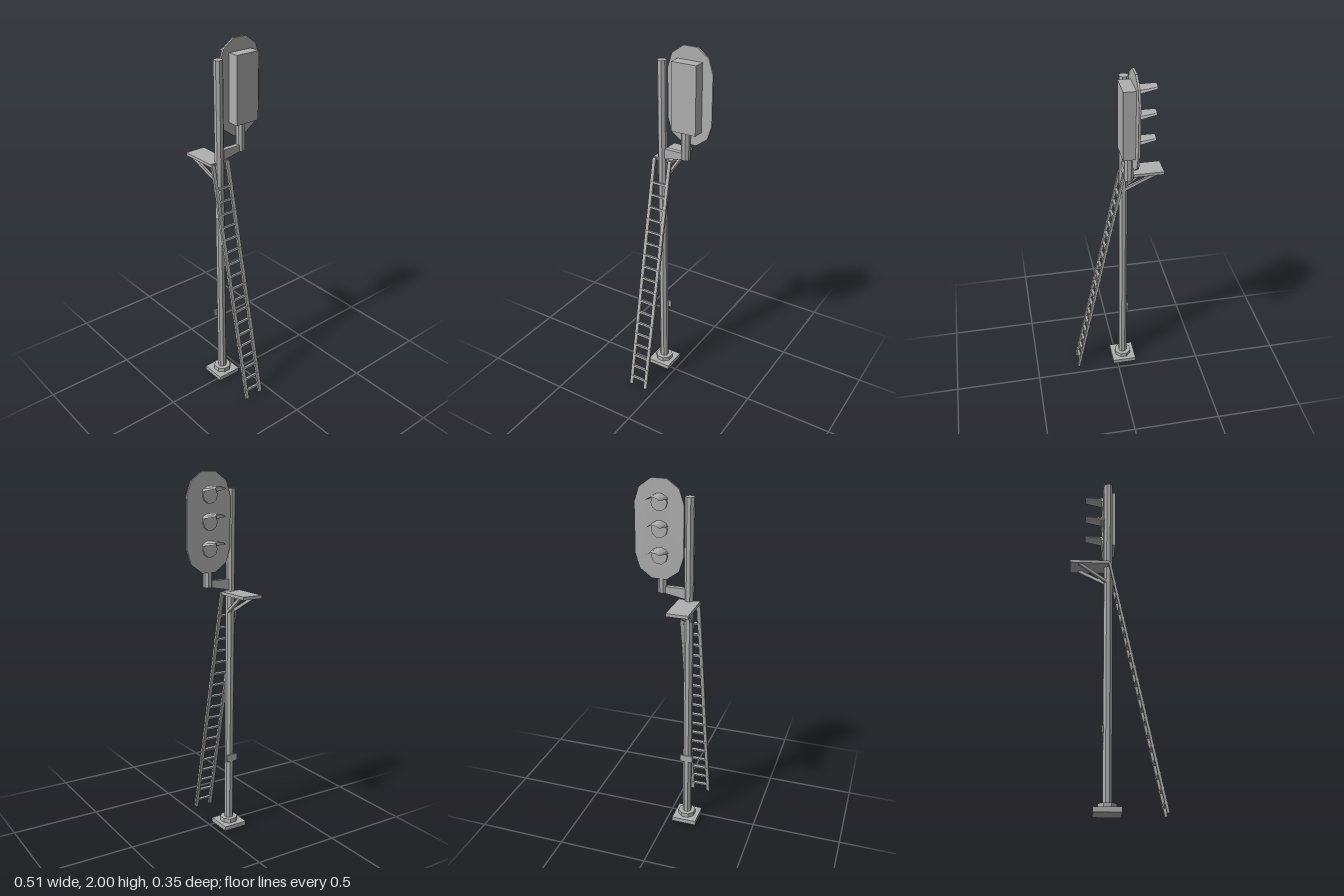
import * as THREE from 'three';

const steel = new THREE.MeshStandardMaterial({ color: 0xb0b0b0, flatShading: true, side: THREE.DoubleSide });
steel.name = 'grey steel';

const POLE_X = -0.043, POLE_Z = 0.105, HEAD_Z = -0.048;

export function createModel() {
  const model = new THREE.Group();
  model.name = 'railwaySignal';

  const add = (name, geometry, x = 0, y = 0, z = 0, parent = model) => {
    const mesh = new THREE.Mesh(geometry, steel);
    mesh.name = name;
    mesh.position.set(x, y, z);
    parent.add(mesh);
    return mesh;
  };
  // box given by its extents on each axis
  const box = (name, x0, x1, y0, y1, z0, z1) =>
    add(name, new THREE.BoxGeometry(x1 - x0, y1 - y0, z1 - z0), (x0 + x1) / 2, (y0 + y1) / 2, (z0 + z1) / 2);
  // upright octagonal tube with flats facing the axes
  const octagon = (name, halfWidth, x, z, y0, y1) => {
    const r = halfWidth / Math.cos(Math.PI / 8);
    return add(name, new THREE.CylinderGeometry(r, r, y1 - y0, 8).rotateY(Math.PI / 8), x, (y0 + y1) / 2, z);
  };
  // rectangular bar between two points
  const bar = (name, a, b, w, h, parent = model) => {
    const mesh = add(name, new THREE.BoxGeometry(w, h, a.distanceTo(b)), 0, 0, 0, parent);
    mesh.position.copy(a).add(b).multiplyScalar(0.5);
    mesh.lookAt(b);
    return mesh;
  };

  // footing and mast
  box('basePlate', -0.114, 0.027, 0, 0.025, 0.035, 0.176);
  octagon('baseCollar', 0.046, POLE_X, POLE_Z, 0.025, 0.05);
  octagon('mast', 0.0235, POLE_X, POLE_Z, 0.05, 1.915);
  box('numberPlate', -0.073, -0.064, 0.4, 0.44, 0.07, 0.14);

  // side arm and post carrying the signal head
  const armShape = new THREE.Shape([[-0.1, 1.38], [0.04, 1.407], [0.04, 1.44], [-0.1, 1.44]]
    .map(([z, y]) => new THREE.Vector2(z, y)));
  const arm = new THREE.ExtrudeGeometry(armShape, { depth: 0.028, bevelEnabled: false });
  add('sideArm', arm.rotateY(Math.PI / 2), -0.057, 0, 0);
  octagon('headPost', 0.023, POLE_X, -0.039, 1.405, 1.566);
  box('lampHousing', -0.061, 0.002, 1.565, 1.93, -0.12, 0.023);

  // long backboard with faceted round ends
  const outline = [];
  for (const [start, y] of [[0, 1.876], [Math.PI, 1.609]]) {
    for (let i = 0; i <= 5; i++) {
      const a = start + (i * Math.PI) / 5;
      outline.push(new THREE.Vector2(0.13 * Math.cos(a), y + 0.13 * Math.sin(a)));
    }
  }
  const board = new THREE.ExtrudeGeometry(new THREE.Shape(outline), { depth: 0.011, bevelEnabled: false });
  add('backboard', board.rotateY(Math.PI / 2), -0.072, 0, HEAD_Z);

  // three lamps, each with a tapering hood
  const hoodGeometry = () => {
    const section = (x, w, depth) => [[-w, -depth], [-w * 0.8, -depth * 0.45], [-0.013, 0],
      [0.013, 0], [w * 0.8, -depth * 0.45], [w, -depth]].map(([z, y]) => [x, y, z]);
    const root = section(-0.072, 0.045, 0.028), tip = section(-0.175, 0.033, 0.012);
    const pos = [];
    for (let i = 0; i < root.length - 1; i++) {
      for (const p of [root[i], root[i + 1], tip[i + 1], root[i], tip[i + 1], tip[i]]) pos.push(...p);
    }
    const g = new THREE.BufferGeometry();
    g.setAttribute('position', new THREE.Float32BufferAttribute(pos, 3));
    g.computeVertexNormals();
    return g;
  };
  for (const top of [1.926, 1.79, 1.652]) {
    add('lampHood', hoodGeometry(), 0, top, -0.045);
    add('lampLens', new THREE.CylinderGeometry(0.043, 0.043, 0.01, 10).rotateZ(Math.PI / 2), -0.077, top - 0.044, -0.045);
  }

  // platform with two struts converging on the mast
  box('platform', -0.255, POLE_X, 1.358, 1.375, 0.047, 0.164);
  for (const s of [-1, 1]) {
    bar('platformStrut', new THREE.Vector3(-0.205, 1.36, POLE_Z + s * 0.045),
      new THREE.Vector3(-0.047, 1.262, POLE_Z + s * 0.015), 0.014, 0.016);
  }

  // leaning ladder
  const ladder = new THREE.Group();
  ladder.name = 'ladder';
  model.add(ladder);
  const topX = -0.038, topY = 1.372, footX = 0.246;
  for (const s of [-1, 1]) {
    const z = POLE_Z + s * 0.0485;
    bar('ladderRail', new THREE.Vector3(topX, topY, z), new THREE.Vector3(footX, 0.001, z), 0.02, 0.013, ladder);
  }
  const lean = Math.atan2(footX - topX, topY);
  for (let i = 0; i < 18; i++) {
    const y = 0.05 + i * 0.0698;
    const x = footX + (topX - footX) * (y / topY);
    add('ladderRung', new THREE.BoxGeometry(0.016, 0.011, 0.117), x, y, POLE_Z, ladder).rotation.z = lean;
  }

  return model;
}
